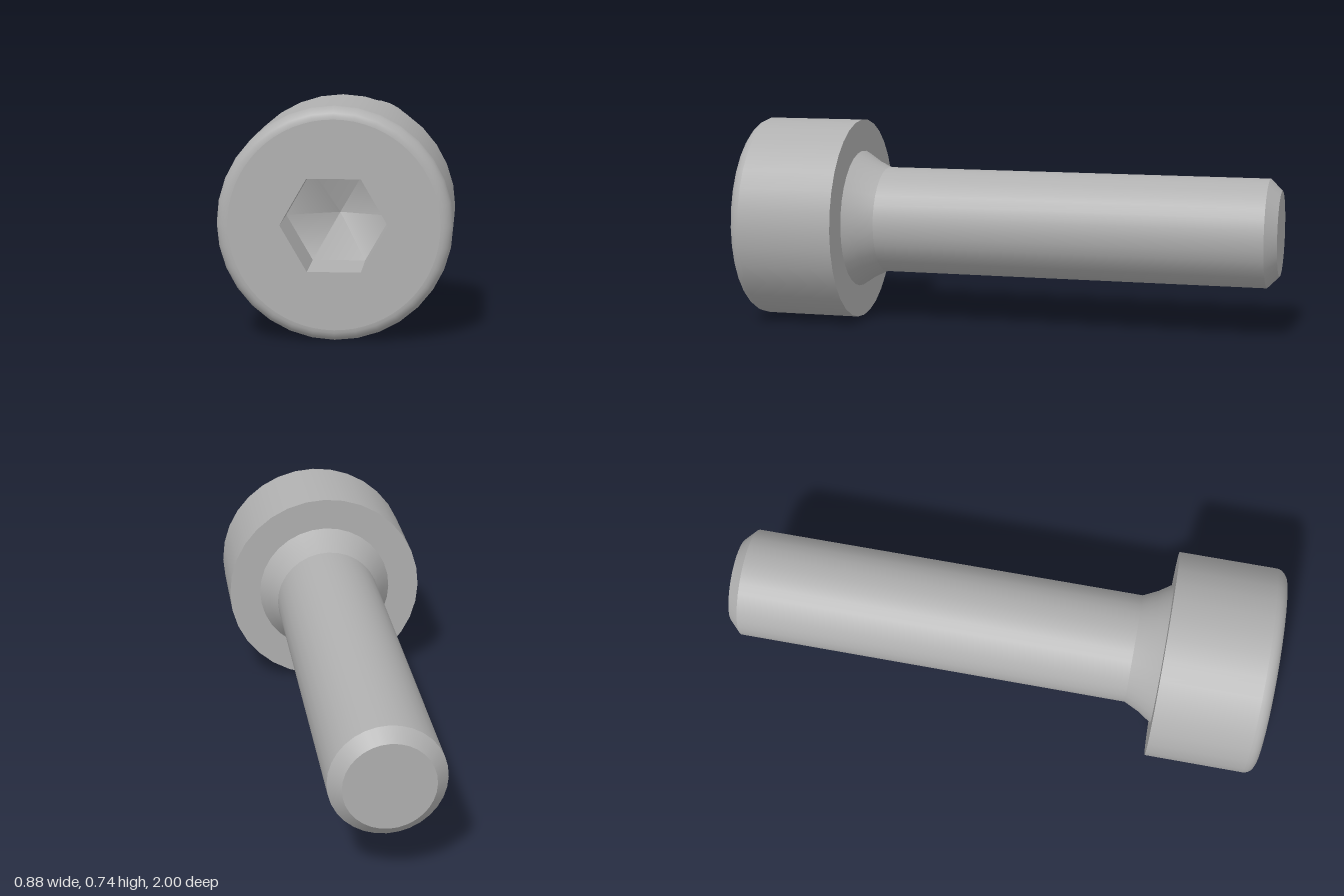
import * as THREE from 'three';

export function createModel() {
  const model = new THREE.Group();
  model.name = 'socketHeadScrew';
  const steel = new THREE.MeshStandardMaterial({ color: 0xb0b0b0 });
  steel.name = 'steelGrey';

  const SEG = 32;
  const HEAD_R = 0.37, HEAD_H = 0.389, ROUND = 0.039;
  const SHAFT_R = 0.1945, FLARE_R = 0.253, FLARE_L = 0.103;
  const LENGTH = 1.556, CHAMFER = 0.042, TIP_R = 0.152;
  const HEX_R = 0.169, HEX_DEPTH = 0.194, HEX_APEX = 0.262;

  const add = (name, geometry) => {
    const mesh = new THREE.Mesh(geometry, steel);
    mesh.name = name;
    model.add(mesh);
    return mesh;
  };
  // Profile points are [radius, height]; rising profiles face outwards
  const lathe = (points, seg = SEG, start = 0) =>
    new THREE.LatheGeometry(points.map(([r, y]) => new THREE.Vector2(r, y)), seg, start);

  // Shank: each band is its own surface so the edges between them stay sharp
  add('tipFace', lathe([[0, -LENGTH], [TIP_R, -LENGTH]]));
  add('tipChamfer', lathe([[TIP_R, -LENGTH], [SHAFT_R, -LENGTH + CHAMFER]]));
  add('shaft', lathe([[SHAFT_R, -LENGTH + CHAMFER], [SHAFT_R, -FLARE_L]]));
  add('neckFlare', lathe([[SHAFT_R, -FLARE_L], [0.22, -0.05], [FLARE_R, 0]]));

  // Head: flat underside, then the side running into a rounded front rim
  add('headUnderside', lathe([[FLARE_R, 0], [HEAD_R, 0]]));
  add('headSide', lathe([[HEAD_R, 0], [HEAD_R, HEAD_H - ROUND]]));
  const rim = [];
  for (let i = 0; i <= 6; i++) {
    const a = (i / 6) * Math.PI / 2;
    rim.push([HEAD_R - ROUND + ROUND * Math.cos(a), HEAD_H - ROUND + ROUND * Math.sin(a)]);
  }
  add('headRim', lathe(rim));

  // Front face with a hexagonal opening
  const face = new THREE.Shape();
  face.absarc(0, 0, HEAD_R - ROUND, 0, Math.PI * 2, false);
  const corners = [];
  for (let i = 0; i < 6; i++) {
    const a = -i * Math.PI / 3;
    corners.push(new THREE.Vector2(HEX_R * Math.cos(a), HEX_R * Math.sin(a)));
  }
  face.holes.push(new THREE.Path(corners));
  const faceGeometry = new THREE.ShapeGeometry(face, SEG);
  faceGeometry.rotateX(-Math.PI / 2);
  faceGeometry.translate(0, HEAD_H, 0);
  add('headFace', faceGeometry);

  // Hex socket: flat walls and a shallow drilled bottom
  const floorY = HEAD_H - HEX_DEPTH;
  const walls = lathe([[HEX_R, HEAD_H], [HEX_R, floorY]], 6, Math.PI / 6).toNonIndexed();
  walls.computeVertexNormals();
  add('socketWalls', walls);
  add('socketBottom', lathe([[HEX_R, floorY], [0, HEAD_H - HEX_APEX]], 6, Math.PI / 6));

  // Lay the screw down, head to the front, turned ten degrees
  model.rotation.set(Math.PI / 2, Math.PI / 18, 0, 'YXZ');
  model.position.set(0.0145, HEAD_R, 0.557);

  const root = new THREE.Group();
  root.name = 'screw';
  root.add(model);
  return root;
}
